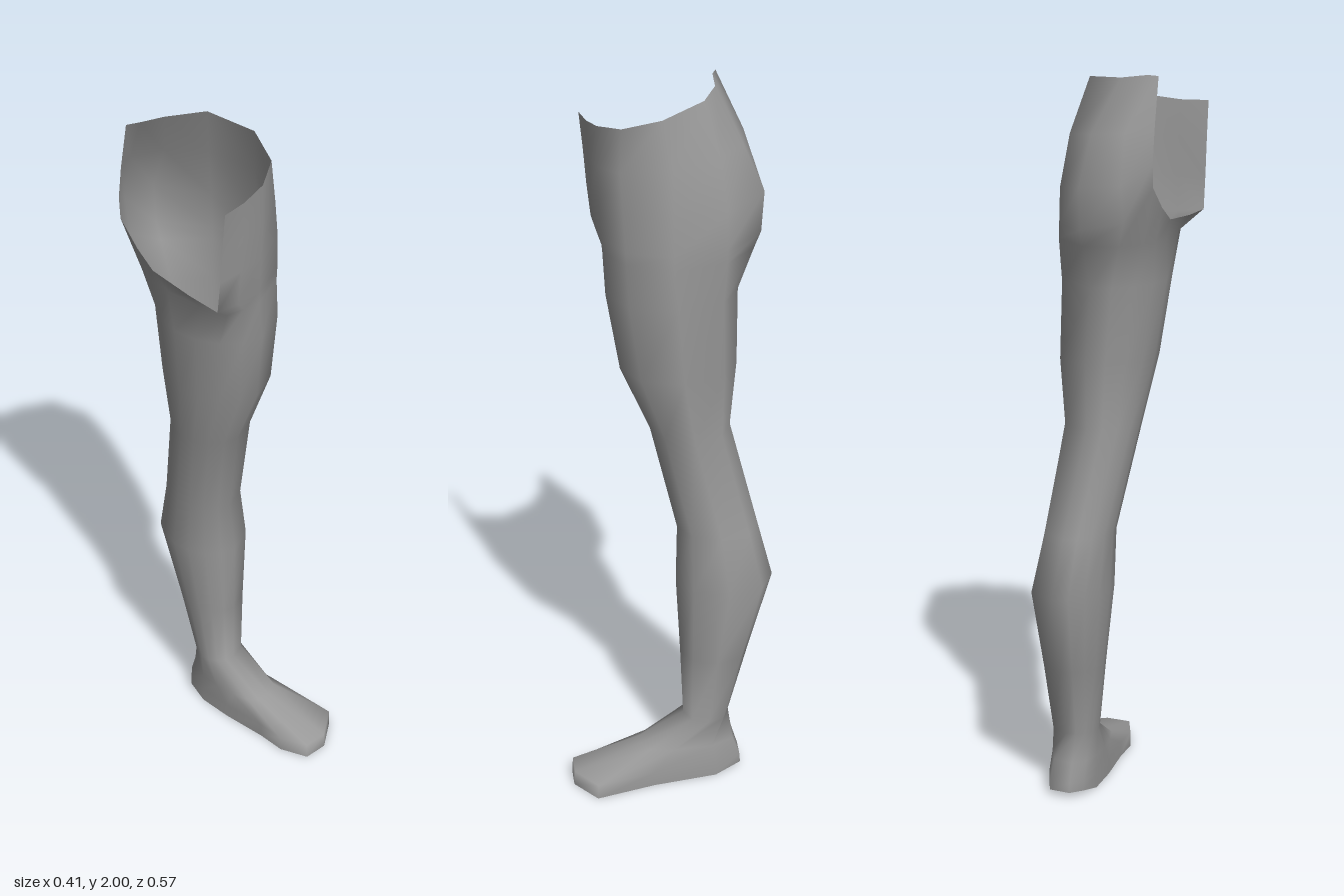
import * as THREE from 'three';

// Every ring has 12 points: front inner -> front (2) -> outer (4) -> back (6) -> inner (10).
const SIDES = 12;

// Hip rings run only from the front centre cut round the outside to the back cut.
const hipRings = [
  [[-.205, 1.9, .213], [-.13, 1.9, .2], [-.05, 1.91, .18], [.03, 1.925, .125], [.065, 1.955, .025],
    [.01, 1.985, -.09], [-.095, 1.99, -.133], [-.17, 2, -.137], [-.205, 2, -.15]],
  [[-.205, 1.8, .203], [-.13, 1.8, .195], [-.05, 1.8, .18], [.04, 1.81, .13], [.09, 1.83, 0],
    [.05, 1.84, -.13], [-.04, 1.85, -.2], [-.14, 1.86, -.215], [-.205, 1.87, -.175]],
  [[-.205, 1.7, .195], [-.13, 1.7, .19], [-.05, 1.7, .177], [.055, 1.7, .125], [.103, 1.7, 0],
    [.072, 1.7, -.145], [-.03, 1.72, -.257], [-.14, 1.73, -.242], [-.205, 1.78, -.187]],
];

// Crotch ring closes the loop underneath.
const crotchRing = [[-.205, 1.61, .185], [-.13, 1.6, .18], [-.05, 1.6, .172], [.06, 1.6, .12], [.11, 1.6, 0],
  [.075, 1.6, -.145], [-.03, 1.61, -.25], [-.14, 1.63, -.225], [-.205, 1.72, -.183],
  [-.205, 1.66, -.12], [-.205, 1.62, -.06], [-.205, 1.61, .08]];

// Top of the thigh (x, z)
const thighTop = [[-.15, .16], [-.1, .167], [-.05, .17], [.06, .118], [.111, 0], [.076, -.145],
  [-.03, -.232], [-.12, -.205], [-.165, -.15], [-.18, -.1], [-.183, -.03], [-.172, .08]];

// Leg sections: height, inner x, outer x, front z, back z
const legSections = [
  [1.45, -.177, .113, .165, -.19],
  [1.24, -.15, .115, .13, -.187],
  [1.06, -.12, .095, .05, -.17],
  [.77, -.073, .122, -.02, -.245],
  [.61, -.072, .15, -.015, -.287],
  [.38, -.04, .132, -.027, -.22],
  [.18, -.015, .12, -.035, -.165],
];

// Foot outlines (x, z)
const instep = [[.015, .07], [.04, .09], [.08, .09], [.12, .07], [.13, 0], [.12, -.11],
  [.087, -.175], [.03, -.18], [0, -.15], [-.01, -.1], [-.01, -.04], [0, .02]];
const footEdge = [[.015, .21], [.05, .285], [.12, .285], [.2, .225], [.155, .06], [.125, -.12],
  [.09, -.195], [.03, -.197], [0, -.165], [-.01, -.1], [-.005, 0], [.012, .13]];

// Oval ring with 45 degree steps outside and 22.5 degree steps inside
function ovalRing([y, x0, x1, zf, zb]) {
  const ring = [];
  for (let k = 0; k < SIDES; k++) {
    const step = k < 2 ? k + SIDES : k;
    const a = step <= 6 ? (step - 2) * Math.PI / 4 : Math.PI + (step - 6) * Math.PI / 8;
    ring.push([
      (x0 + x1) / 2 + Math.sin(a) * (x1 - x0) / 2,
      y,
      (zf + zb) / 2 + Math.cos(a) * (zf - zb) / 2,
    ]);
  }
  return ring;
}

const level = (outline, y) => outline.map(([x, z]) => [x, y, z]);

// Skins successive rings, leaving open the gap beside rings with fewer points
function loft(rings) {
  const starts = [], positions = [], index = [];
  for (const ring of rings) {
    starts.push(positions.length / 3);
    positions.push(...ring.flat());
  }
  for (let i = 0; i < rings.length - 1; i++) {
    const n = rings[i].length;
    const closed = n === SIDES;
    for (let k = 0; k < (closed ? n : n - 1); k++) {
      const j = (k + 1) % n;
      const a = starts[i] + k, b = starts[i] + j;
      const c = starts[i + 1] + k, d = starts[i + 1] + j;
      index.push(a, c, b, b, c, d);
    }
  }
  const geometry = new THREE.BufferGeometry();
  geometry.setAttribute('position', new THREE.Float32BufferAttribute(positions, 3));
  geometry.setIndex(index);
  geometry.computeVertexNormals();

  // Sole: a strip across the last ring that keeps the soft shading of the foot's sides
  const last = starts.at(-1);
  const at = (k) => last + (k + SIDES) % SIDES;
  for (let k = 0; k < SIDES / 2 - 1; k++) {
    const a = at(1 - k), b = at(2 + k), c = at(-k), d = at(3 + k);
    index.push(a, c, b, b, c, d);
  }
  geometry.setIndex(index);
  return geometry;
}

export function createModel() {
  const group = new THREE.Group();
  group.name = 'leg';
  const material = new THREE.MeshStandardMaterial({ color: 0x999999, side: THREE.DoubleSide });

  // Continuous skin from the open waist to the sole
  const skin = new THREE.Mesh(loft([
    ...hipRings,
    crotchRing,
    level(thighTop, 1.565),
    ...legSections.map(ovalRing),
    level(instep, .1),
    level(footEdge, .045),
    footEdge.map(([x, z]) => [x, z < -.15 ? .018 : .002, z * 1.01]),
  ]), material);
  skin.name = 'hipLegAndFoot';
  group.add(skin);

  return group;
}
